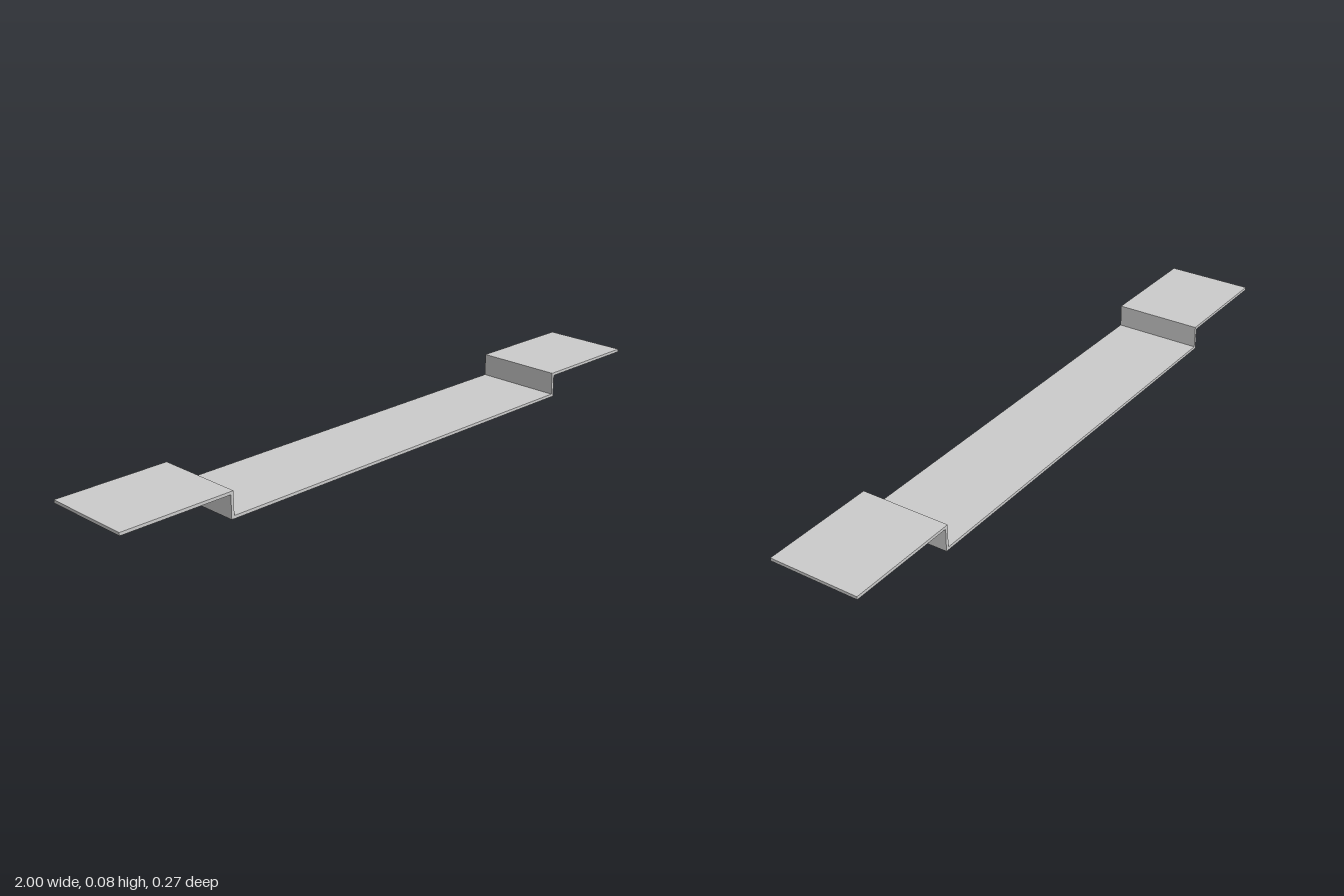
import * as THREE from 'three';

export function createModel() {
  const group = new THREE.Group();
  const width = 0.274, top = 0.078, t = 0.009;
  const inner = 0.649, outer = inner + t;

  // Right half of the bent strip section, from underside to upper side
  const under = [[outer, 0], [outer, top - t], [1, top - t]];
  const upper = [[1, top], [inner, top], [inner, t]];
  const half = [...under, ...upper];

  // Mirror the half section to close the outline
  const mirrored = half.map(([x, y]) => [-x, y]).reverse();
  const outline = [...half, ...mirrored].map(([x, y]) => new THREE.Vector2(x, y));

  // Sheet strip with a dropped middle and two raised end flanges
  const geometry = new THREE.ExtrudeGeometry(new THREE.Shape(outline), {
    depth: width,
    bevelEnabled: false,
  });
  geometry.translate(0, 0, -width / 2);

  const strip = new THREE.Mesh(geometry, new THREE.MeshStandardMaterial({ color: 0xcccccc }));
  strip.name = 'bentMountingStrip';
  group.add(strip);
  return group;
}
